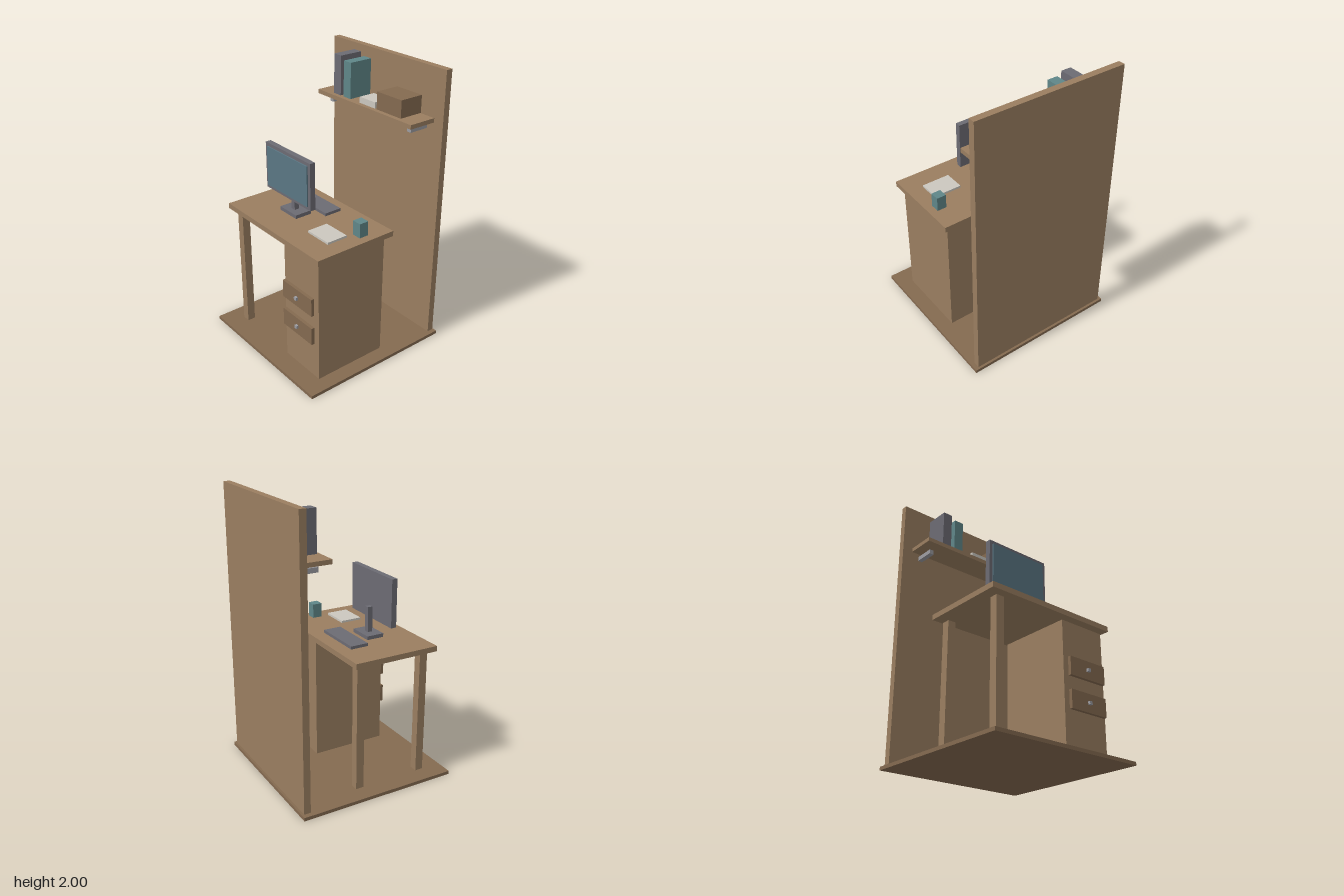
import * as THREE from 'three';

const paint = (color) => new THREE.MeshStandardMaterial({ color });

export function createModel() {
  const model = new THREE.Group();
  model.name = 'workstation';

  const wood = paint(0x9a7e60);
  const darkWood = paint(0x846a50);
  const charcoal = paint(0x6c6b73);
  const teal = paint(0x5f8688);
  const glass = paint(0x5a7683);
  const paper = paint(0xcbc7bf);
  const metal = paint(0x9c9ca1);

  // Box given by its [min, max] extent along each axis
  const box = (parent, name, material, x, y, z) => {
    const mesh = new THREE.Mesh(
      new THREE.BoxGeometry(x[1] - x[0], y[1] - y[0], z[1] - z[0]), material);
    mesh.position.set((x[0] + x[1]) / 2, (y[0] + y[1]) / 2, (z[0] + z[1]) / 2);
    mesh.name = name;
    parent.add(mesh);
    return mesh;
  };
  const group = (name) => {
    const g = new THREE.Group();
    g.name = name;
    model.add(g);
    return g;
  };

  // Room: floor slab and back wall
  box(model, 'floor', darkWood, [-0.577, 0.577], [0, 0.024], [-0.577, 0.577]);
  box(model, 'backWall', wood, [-0.55, 0.55], [0.03, 2], [-0.564, -0.516]);

  // Desk: top, two legs on one side, drawer cabinet on the other
  const desk = group('desk');
  box(desk, 'deskTop', wood, [-0.51, 0.51], [0.937, 0.975], [-0.157, 0.47]);
  for (const [name, z] of [['frontLeg', 0.376], ['backLeg', -0.115]]) {
    box(desk, name, wood, [-0.452, -0.394], [0.024, 0.919], [z, z + 0.058]);
  }
  box(desk, 'cabinet', wood, [0.106, 0.469], [0.024, 0.919], [-0.115, 0.434]);
  for (const y of [0.372, 0.595]) {
    box(desk, 'drawerFront', darkWood, [0.132, 0.442], [y - 0.064, y + 0.064], [0.45, 0.473]);
    box(desk, 'drawerKnob', metal, [0.276, 0.299], [y - 0.011, y + 0.011], [0.473, 0.49]);
  }

  // Monitor with stand
  const monitor = group('monitor');
  box(monitor, 'monitorCase', charcoal, [-0.354, 0.141], [1.098, 1.434], [0.203, 0.243]);
  box(monitor, 'screen', glass, [-0.33, 0.116], [1.122, 1.41], [0.243, 0.252]);
  box(monitor, 'standNeck', charcoal, [-0.125, -0.089], [1.005, 1.185], [0.167, 0.203]);
  box(monitor, 'standBase', charcoal, [-0.197, -0.016], [0.979, 1.005], [0.12, 0.247]);

  // Objects on the desk
  const items = group('deskItems');
  box(items, 'keyboard', charcoal, [-0.289, 0.077], [0.979, 1.0], [-0.064, 0.065]);
  box(items, 'notepad', paper, [0.186, 0.393], [0.979, 0.994], [0.143, 0.299]);
  box(items, 'cup', teal, [0.386, 0.455], [0.979, 1.081], [0.017, 0.086]);

  // Wall shelf, its brackets and contents
  const shelf = group('shelf');
  box(shelf, 'shelfBoard', wood, [-0.471, 0.471], [1.634, 1.664], [-0.516, -0.306]);
  for (const x of [-0.398, 0.393]) {
    box(shelf, 'shelfBracket', metal, [x - 0.017, x + 0.017], [1.579, 1.612], [-0.516, -0.37]);
  }
  box(shelf, 'tallBook', charcoal, [-0.328, -0.255], [1.667, 1.949], [-0.514, -0.333]);
  box(shelf, 'shortBook', teal, [-0.224, -0.15], [1.667, 1.922], [-0.514, -0.333]);
  box(shelf, 'paperStack', paper, [-0.053, 0.101], [1.667, 1.71], [-0.46, -0.333]);
  box(shelf, 'storageBox', darkWood, [0.119, 0.351], [1.667, 1.79], [-0.514, -0.333]);

  return model;
}
